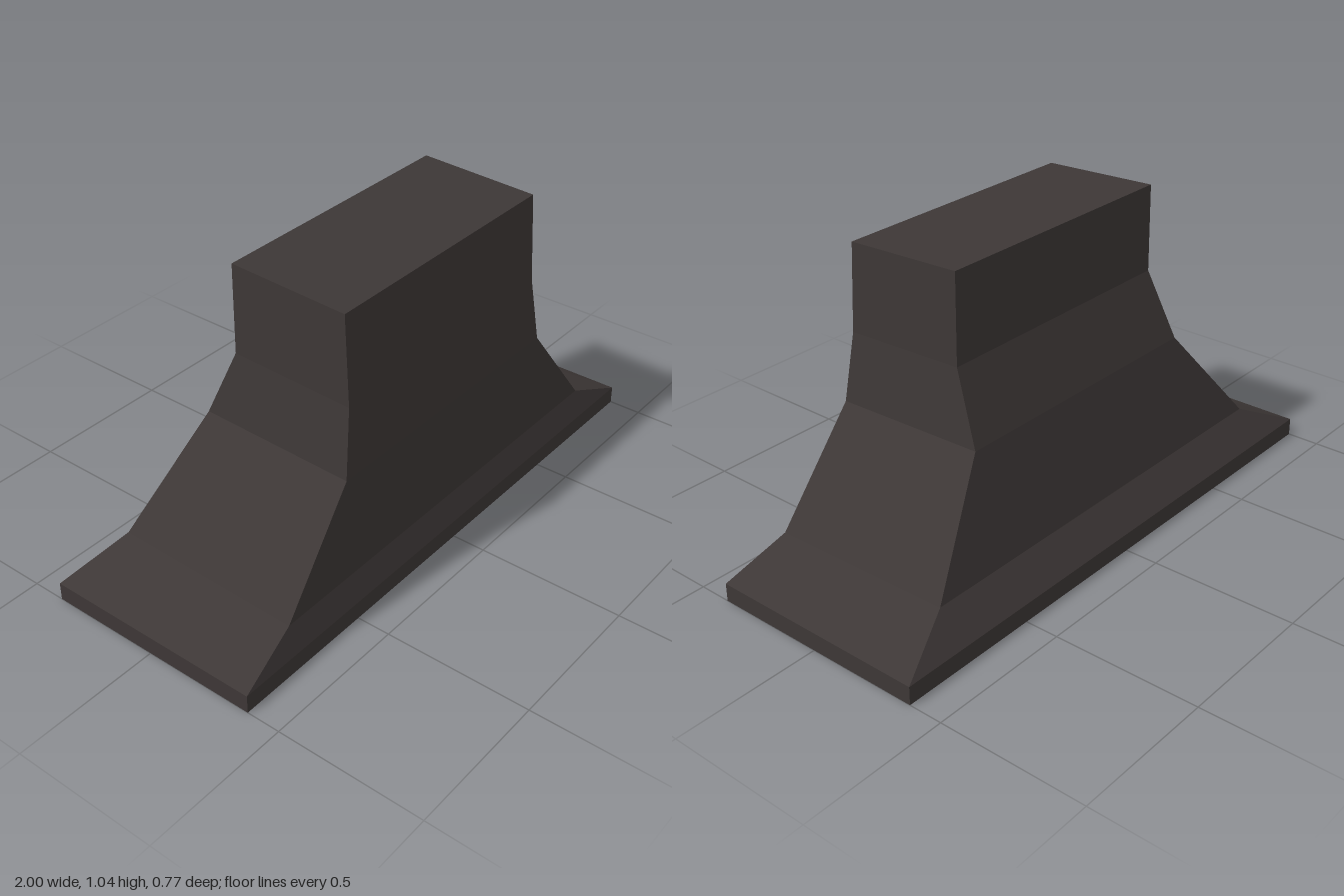
import * as THREE from 'three';

// Rectangular sections from bottom to top: half width, front z, back z, front y, back y
const sections = [
  [1.0, 0.385, -0.385, 0, 0],
  [1.0, 0.385, -0.385, 0.062, 0.062],
  [0.78, 0.354, -0.3, 0.15, 0.166],
  [0.503, 0.345, -0.195, 0.5, 0.515],
  [0.47, 0.329, -0.1, 0.73, 0.745],
  [0.468, 0.314, -0.1, 1.029, 1.045],
];

const corners = ([w, zf, zb, yf, yb]) => [
  [-w, yf, zf], [w, yf, zf], [w, yb, zb], [-w, yb, zb],
];

function flatGeometry(points) {
  const geometry = new THREE.BufferGeometry();
  geometry.setAttribute('position', new THREE.Float32BufferAttribute(points.flat(), 3));
  geometry.computeVertexNormals();
  return geometry;
}

// Four-sided shell joining a run of sections, open at both ends
function shell(from, to) {
  const points = [];
  for (let s = from; s < to; s++) {
    const low = corners(sections[s]);
    const high = corners(sections[s + 1]);
    for (let i = 0; i < 4; i++) {
      const j = (i + 1) % 4;
      points.push(low[i], low[j], high[j], low[i], high[j], high[i]);
    }
  }
  return flatGeometry(points);
}

export function createModel() {
  const group = new THREE.Group();
  group.name = 'extractorHood';
  const darkMetal = new THREE.MeshStandardMaterial({
    color: 0x3d3736, flatShading: true, side: THREE.DoubleSide,
  });
  darkMetal.name = 'dark metal';

  const add = (name, geometry) => {
    const mesh = new THREE.Mesh(geometry, darkMetal);
    mesh.name = name;
    group.add(mesh);
  };

  add('baseRim', shell(0, 1));
  add('flaredCanopy', shell(1, 3));
  add('chimney', shell(3, 5));

  // Gently sloping lid; the hood stays open underneath
  const [a, b, c, d] = corners(sections[5]);
  add('topLid', flatGeometry([a, b, c, a, c, d]));

  return group;
}
